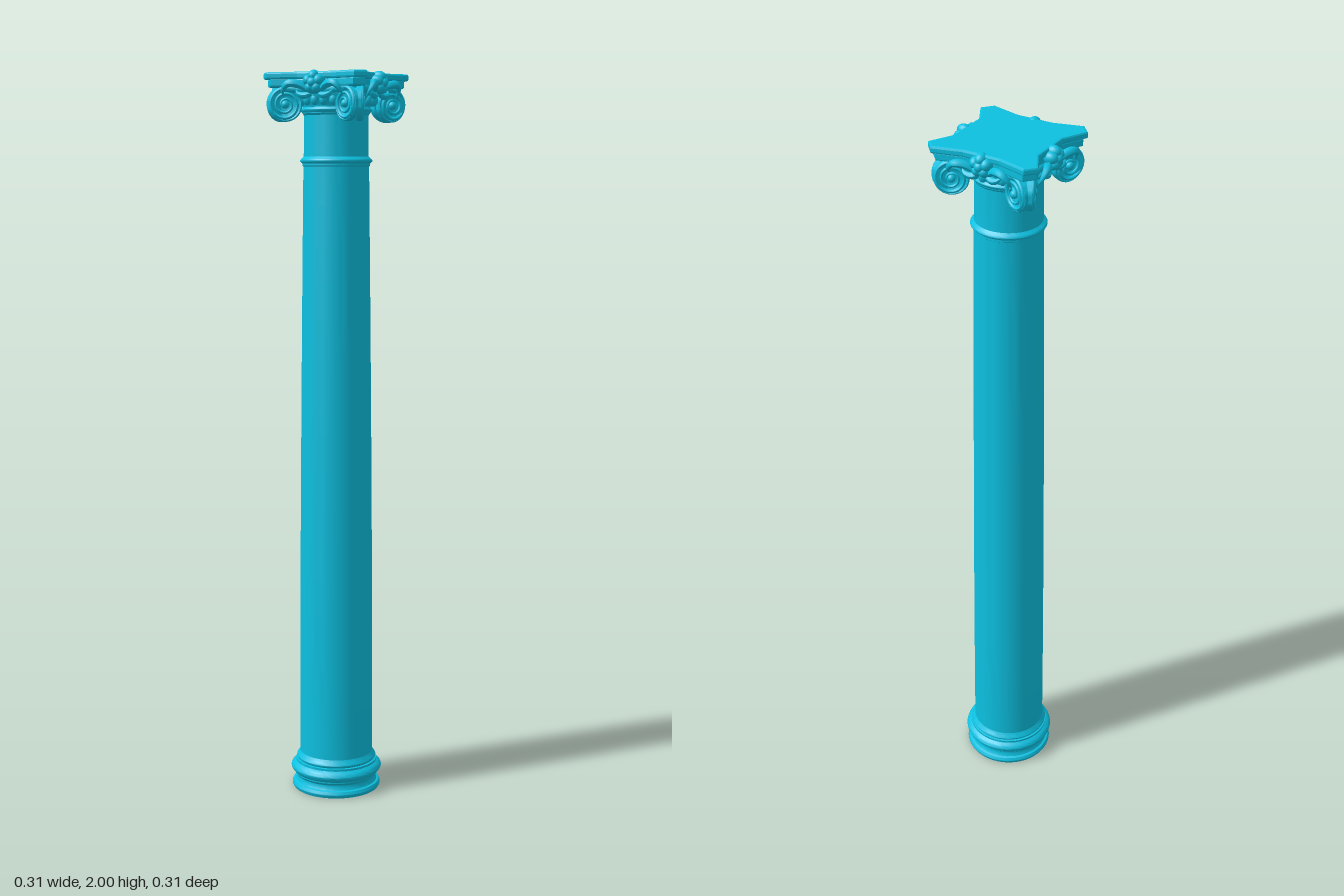
import * as THREE from 'three';
import { toCreasedNormals } from 'three/addons/utils/BufferGeometryUtils.js';

const stone = new THREE.MeshStandardMaterial({ color: 0x0cc0e0, side: THREE.DoubleSide });

function add(parent, name, geometry, x = 0, y = 0, z = 0) {
  const mesh = new THREE.Mesh(geometry, stone);
  mesh.name = name;
  mesh.position.set(x, y, z);
  parent.add(mesh);
  return mesh;
}

const vec = (p) => new THREE.Vector3(...p);

function lathe(points, segments = 64) {
  const g = new THREE.LatheGeometry(points.map(([r, y]) => new THREE.Vector2(r, y)), segments);
  return toCreasedNormals(g, 0.65);
}

// Half-round moulding profile between two heights
function bulge(r, y0, y1, depth) {
  return Array.from({ length: 9 }, (_, i) => {
    const t = i / 8;
    return [r + depth * Math.sin(Math.PI * t), y0 + (y1 - y0) * t];
  });
}

// Tube whose radius follows a rule along its length
function taperedTube(curve, n, radius, rule) {
  const g = new THREE.TubeGeometry(curve, n, radius, 8);
  const p = g.attributes.position;
  const v = new THREE.Vector3();
  for (let i = 0; i <= n; i++) {
    const c = curve.getPointAt(i / n);
    for (let j = 0; j <= 8; j++) {
      const k = i * 9 + j;
      v.fromBufferAttribute(p, k).sub(c).multiplyScalar(rule(i / n)).add(c);
      p.setXYZ(k, v.x, v.y, v.z);
    }
  }
  g.computeVertexNormals();
  return g;
}

// Slab outline with concave sides and clipped corners
function abacusShape(s) {
  const q = [[0.121, 0.06], [0.155, 0.123], [0.13, 0.151], [0.05, 0.13]];
  const r = [...q].reverse();
  const pts = [
    ...q, ...r.map(([x, z]) => [-x, z]),
    ...q.map(([x, z]) => [-x, -z]), ...r.map(([x, z]) => [x, -z]),
  ];
  return new THREE.Shape(pts.map(([x, z]) => new THREE.Vector2(x * s, z * s)));
}

function slab(s, height, bevel) {
  const g = new THREE.ExtrudeGeometry(abacusShape(s), {
    depth: height - 2 * bevel, bevelEnabled: true, bevelSegments: 2,
    bevelThickness: bevel, bevelSize: bevel, bevelOffset: -bevel,
  });
  return g.rotateX(-Math.PI / 2).translate(0, bevel, 0);
}

// One scroll face looking along +z
function scrollFace(hand) {
  const g = new THREE.Group();
  g.name = 'scrollFace';
  const disc = lathe([[0, -0.011], [0.04, -0.011], [0.045, -0.006], [0.045, 0.006],
    [0.042, 0.009], [0.036, 0.005], [0, 0.006]], 36).rotateX(Math.PI / 2);
  add(g, 'scrollDisc', disc);
  const pts = Array.from({ length: 49 }, (_, i) => {
    const t = i / 48;
    const a = Math.PI / 2 - hand * t * Math.PI * 4.5;
    const r = 0.042 - 0.031 * t;
    return new THREE.Vector3(r * Math.cos(a), r * Math.sin(a), 0.007 + 0.004 * t);
  });
  add(g, 'scrollSpiral', taperedTube(new THREE.CatmullRomCurve3(pts), 90, 0.0055, (t) => 1 - 0.4 * t));
  add(g, 'scrollEye', new THREE.SphereGeometry(0.011, 16, 10), 0, 0, 0.008);
  return g;
}

// Two scroll faces meeting at a diagonal corner, with a roll between
function cornerVolute() {
  const g = new THREE.Group();
  g.name = 'cornerVolute';
  const a = scrollFace(1);
  a.position.set(0.093, 1.912, 0.116);
  a.rotation.y = -0.47;
  const b = scrollFace(-1);
  b.position.set(0.116, 1.912, 0.093);
  b.rotation.y = Math.PI / 2 + 0.47;
  g.add(a, b);
  const roll = add(g, 'scrollRoll', lathe([[0, -0.018], [0.043, -0.018], [0.037, -0.006],
    [0.037, 0.006], [0.043, 0.018], [0, 0.018]], 32).rotateX(Math.PI / 2), 0.102, 1.912, 0.102);
  roll.rotation.y = -Math.PI / 4;
  return g;
}

// Flower, leaf sprays and scroll band on one face
function faceOrnament() {
  const g = new THREE.Group();
  g.name = 'faceOrnament';
  const flower = new THREE.Group();
  flower.name = 'flower';
  flower.position.set(0, 1.968, 0.127);
  add(flower, 'flowerHeart', new THREE.SphereGeometry(0.013, 16, 12), 0, 0, 0.012);
  for (let i = 0; i < 5; i++) {
    const a = Math.PI / 2 + i * Math.PI * 2 / 5;
    const petal = add(flower, 'petal', new THREE.SphereGeometry(0.016, 16, 12),
      0.016 * Math.cos(a), 0.016 * Math.sin(a), 0);
    petal.scale.set(0.95, 1, 1.25);
  }
  g.add(flower);
  for (const s of [-1, 1]) {
    const leaf = new THREE.CatmullRomCurve3([[0.015, 1.945, 0.125], [0.04, 1.962, 0.134],
      [0.068, 1.965, 0.147], [0.085, 1.948, 0.144], [0.088, 1.932, 0.134]]
      .map(([x, y, z]) => vec([s * x, y, z])));
    add(g, 'leaf', taperedTube(leaf, 24, 0.011, (t) => 0.1 + 0.9 * Math.sin(Math.PI * (0.15 + 0.85 * t))));
    const bud = new THREE.CatmullRomCurve3([[0.01, 1.94, 0.122], [0.03, 1.934, 0.128],
      [0.048, 1.94, 0.13], [0.055, 1.95, 0.124]].map(([x, y, z]) => vec([s * x, y, z])));
    add(g, 'smallLeaf', taperedTube(bud, 16, 0.009, (t) => 0.1 + 0.9 * Math.sin(Math.PI * (0.2 + 0.8 * t))));
  }
  const band = new THREE.CatmullRomCurve3([[-0.1, 1.956, 0.118], [-0.05, 1.952, 0.11],
    [0, 1.948, 0.108], [0.05, 1.952, 0.11], [0.1, 1.956, 0.118]].map(vec));
  add(g, 'scrollBand', new THREE.TubeGeometry(band, 24, 0.011, 10));
  return g;
}

export function createModel() {
  const model = new THREE.Group();
  model.name = 'column';

  // Hollow moulded base
  add(model, 'base', lathe([
    [0.1, 0.1], [0.1, 0.02], [0.107, 0], [0.121, 0], ...bulge(0.121, 0, 0.018, 0.004),
    [0.115, 0.02], [0.111, 0.028], [0.111, 0.034], [0.117, 0.041], [0.117, 0.045],
    ...bulge(0.118, 0.045, 0.074, 0.01), [0.114, 0.076], [0.114, 0.082],
    ...bulge(0.108, 0.083, 0.096, 0.004), [0.103, 0.105],
  ]));

  // Tapering shaft with a gentle swell
  const shaft = Array.from({ length: 17 }, (_, i) => {
    const t = i / 16;
    return [0.103 - 0.014 * Math.pow(t, 1.5), 0.1 + 1.65 * t];
  });
  add(model, 'shaft', lathe(shaft));

  // Neck ring, neck and bell
  add(model, 'neckRing', lathe([[0.089, 1.75], [0.092, 1.752], [0.092, 1.757],
    ...bulge(0.092, 1.758, 1.772, 0.006), [0.088, 1.776]]));
  add(model, 'neck', lathe([[0.088, 1.77], [0.087, 1.885], [0.091, 1.89],
    ...bulge(0.091, 1.892, 1.906, 0.005), [0.092, 1.91], [0.103, 1.925],
    [0.11, 1.94], [0.108, 1.955], [0.1, 1.965]]));

  // Capital, a hair behind the shaft axis
  const capital = new THREE.Group();
  capital.name = 'capital';
  capital.position.z = -0.002;
  model.add(capital);
  for (let i = 0; i < 24; i++) {
    const a = (i + 0.5) * Math.PI / 12;
    const egg = add(capital, 'egg', new THREE.SphereGeometry(0.011, 12, 8),
      0.101 * Math.sin(a), 1.925, 0.101 * Math.cos(a));
    egg.scale.y = 1.4;
  }
  add(capital, 'abacusLower', slab(0.94, 0.022, 0.004), 0, 1.957, 0);
  add(capital, 'abacusTop', slab(1, 0.019, 0.005), 0, 1.977, 0);
  for (let i = 0; i < 4; i++) {
    const volute = cornerVolute();
    const ornament = faceOrnament();
    volute.rotation.y = ornament.rotation.y = i * Math.PI / 2;
    capital.add(volute, ornament);
  }
  return model;
}
